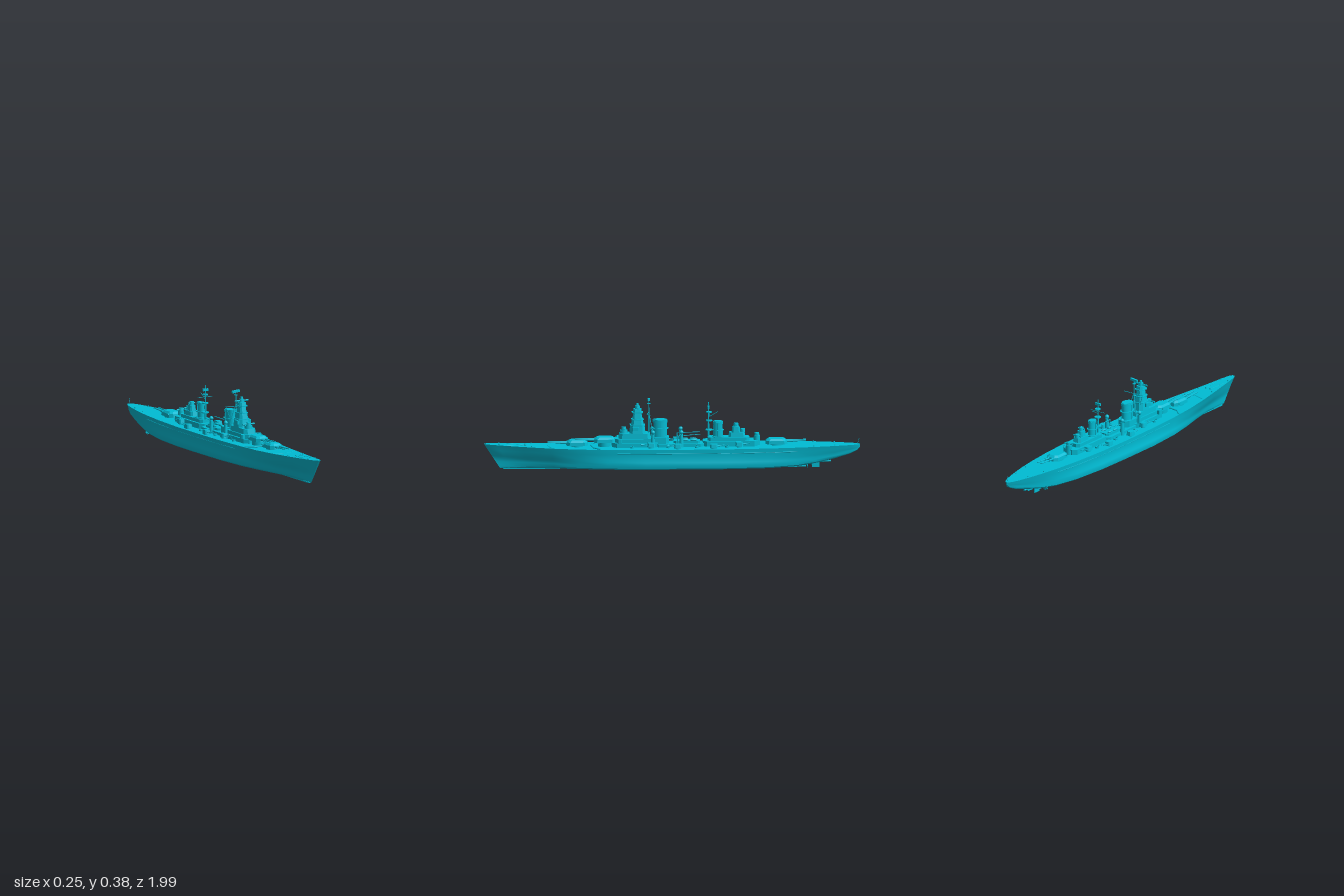
import * as THREE from 'three';
import { toCreasedNormals } from 'three/addons/utils/BufferGeometryUtils.js';

const mat = new THREE.MeshStandardMaterial({ color: 0x00bcd4 });
const DECK = 0.12;

function add(parent, name, geo, x = 0, y = 0, z = 0) {
  const m = new THREE.Mesh(geo, mat);
  m.name = name;
  m.position.set(x, y, z);
  parent.add(m);
  return m;
}
function group(parent, name, x = 0, y = 0, z = 0) {
  const g = new THREE.Group();
  g.name = name;
  g.position.set(x, y, z);
  parent.add(g);
  return g;
}
// Chamfered block standing on y, optionally tapered to the top
function block(parent, name, w, h, d, x, y, z, chamfer = 0.2, top = 1) {
  const a = w / 2, b = d / 2, c = Math.min(a, b) * chamfer * 2;
  const pts = [[a, -b + c], [a, b - c], [a - c, b], [-a + c, b], [-a, b - c], [-a, -b + c], [-a + c, -b], [a - c, -b]];
  const shape = new THREE.Shape(pts.map(p => new THREE.Vector2(...p)));
  const geo = new THREE.ExtrudeGeometry(shape, { depth: h, bevelEnabled: false }).rotateX(-Math.PI / 2);
  const p = geo.attributes.position;
  for (let i = 0; i < p.count; i++) {
    if (p.getY(i) > h / 2) p.setXYZ(i, p.getX(i) * top, p.getY(i), p.getZ(i) * top);
  }
  geo.computeVertexNormals();
  return add(parent, name, geo, x, y, z);
}
// Upright cylinder standing on y
function drum(parent, name, r0, r1, h, x, y, z, stretch = 1) {
  const m = add(parent, name, new THREE.CylinderGeometry(r1, r0, h, 20), x, y + h / 2, z);
  m.scale.z = stretch;
  return m;
}
// Round bar between two points
function rod(parent, name, a, b, r, r2 = r) {
  const A = new THREE.Vector3(...a), B = new THREE.Vector3(...b), dir = B.clone().sub(A);
  const m = add(parent, name, new THREE.CylinderGeometry(r2, r, dir.length(), 8));
  m.position.copy(A).add(B).multiplyScalar(0.5);
  m.quaternion.setFromUnitVectors(new THREE.Vector3(0, 1, 0), dir.normalize());
  return m;
}

const deckY = z => DECK + 0.017 * Math.max(0, (z - 0.5) / 0.5) ** 1.5;

function hull(parent) {
  // z, deck half-width, bilge half-width, keel height
  const stations = [
    [1, 0.006, 0.001, 0.005], [0.985, 0.017, 0.002, 0.005], [0.93, 0.028, 0.005, 0.004], [0.8, 0.049, 0.017, 0.004],
    [0.65, 0.073, 0.044, 0.003], [0.5, 0.093, 0.077, 0.003], [0.35, 0.107, 0.105, 0.003], [0.15, 0.117, 0.121, 0.003],
    [-0.1, 0.12, 0.123, 0.003], [-0.3, 0.117, 0.12, 0.003], [-0.5, 0.105, 0.104, 0.004], [-0.65, 0.089, 0.08, 0.01],
    [-0.75, 0.074, 0.06, 0.024], [-0.85, 0.054, 0.04, 0.046], [-0.93, 0.034, 0.023, 0.069],
    [-0.97, 0.018, 0.011, 0.088], [-0.985, 0.005, 0.003, 0.105]];
  // height fraction, blend from bilge to deck width, width factor
  const profile = [[0, 0, 0], [0.02, 0, 0.55], [0.06, 0, 0.85], [0.13, 0, 0.97], [0.27, 0.02, 1],
    [0.4, 0.12, 0.99], [0.52, 0.45, 0.965], [0.76, 0.72, 0.98], [1, 1, 1], [1, 1, 0]];
  const half = profile.length;
  const pos = [], idx = [], n = half * 2 - 2;
  for (const [z, wd, wb, yk] of stations) {
    const rake = 0.085 * Math.max(0, (z - 0.5) / 0.5);
    for (let j = 0; j < n; j++) {
      const [t, k, f] = profile[j < half ? j : n - j];
      const x = (wb + (wd - wb) * k) * f * (j < half ? 1 : -1);
      pos.push(x, yk + (deckY(z) - yk) * t, z - rake * (1 - t));
    }
  }
  for (let i = 0; i < stations.length - 1; i++) for (let j = 0; j < n; j++) {
    const a = i * n + j, b = i * n + (j + 1) % n, c = a + n, d = b + n;
    idx.push(a, c, b, b, c, d);
  }
  const last = (stations.length - 1) * n;
  for (let j = 1; j < n - 1; j++) idx.push(0, j, j + 1, last, last + j + 1, last + j);
  const geo = new THREE.BufferGeometry();
  geo.setAttribute('position', new THREE.Float32BufferAttribute(pos, 3));
  geo.setIndex(idx);
  add(parent, 'hull', toCreasedNormals(geo, 0.6));
}

function mainTurret(parent, name, y, z, dir) {
  const g = group(parent, name, 0, 0, z);
  if (dir < 0) g.rotation.y = Math.PI;
  drum(g, 'barbette', 0.034, 0.034, y - DECK + 0.005, 0, DECK - 0.002, 0);
  block(g, 'gunhouse', 0.074, 0.018, 0.115, 0, y, -0.002, 0.22, 0.96);
  block(g, 'turretRoof', 0.07, 0.01, 0.108, 0, y + 0.018, -0.003, 0.22, 0.75);
  rod(g, 'turretRangefinder', [-0.042, y + 0.014, -0.035], [0.042, y + 0.014, -0.035], 0.005);
  for (const s of [-1, 1]) {
    rod(g, 'barrelSleeve', [s * 0.013, y + 0.013, 0.05], [s * 0.013, y + 0.014, 0.085], 0.0055);
    rod(g, 'barrel', [s * 0.013, y + 0.013, 0.05], [s * 0.013, y + 0.017, 0.155], 0.004, 0.003);
  }
}

function secondaryTurret(parent, x, y, z, dir) {
  const g = group(parent, 'secondaryTurret', x, y, z);
  if (dir < 0) g.rotation.y = Math.PI;
  drum(g, 'secondaryBase', 0.014, 0.014, 0.008, 0, -0.003, 0);
  block(g, 'secondaryGunhouse', 0.034, 0.021, 0.042, 0, 0.004, 0, 0.18, 0.85);
  for (const s of [-1, 1]) rod(g, 'secondaryBarrel', [s * 0.007, 0.014, 0.015], [s * 0.007, 0.017, 0.055], 0.002);
}

function funnel(parent, name, z, r, stretch, top) {
  const g = group(parent, name, 0, 0, z);
  block(g, 'funnelBase', r * 2.9, 0.05, r * stretch * 2.5, 0, DECK, 0, 0.25);
  drum(g, 'funnelTrunk', r, r * 0.95, top - DECK, 0, DECK, 0, stretch);
  drum(g, 'funnelCap', r * 1.05, r * 1.05, 0.012, 0, top - 0.016, 0, stretch);
  drum(g, 'funnelPlatform', r * 1.25, r * 1.25, 0.004, 0, top - 0.05, 0, stretch * 0.95);
  for (const s of [-1, 1]) rod(g, 'steamPipe', [s * r * 1.05, DECK, 0], [s * r * 1.05, top - 0.01, 0], 0.0025);
}

function rangefinder(parent, y, z, half) {
  drum(parent, 'directorDrum', 0.014, 0.012, 0.018, 0, y, z);
  rod(parent, 'rangefinderArm', [-half, y + 0.009, z], [half, y + 0.009, z], 0.0045);
}

export function createModel() {
  const ship = new THREE.Group();
  ship.name = 'battleship';
  hull(ship);

  mainTurret(ship, 'forwardTurret', 0.127, 0.51, 1);
  mainTurret(ship, 'upperForwardTurret', 0.142, 0.365, 1);
  mainTurret(ship, 'aftTurret', 0.127, -0.545, -1);

  // Forward superstructure: width, height, depth, y, z, top scale
  const tower = group(ship, 'forwardTower');
  for (const [w, h, d, y, z, t] of [
    [0.11, 0.025, 0.25, 0.118, 0.2, 1], [0.088, 0.02, 0.21, 0.143, 0.205, 1], [0.074, 0.027, 0.17, 0.163, 0.205, 0.95],
    [0.07, 0.04, 0.085, 0.19, 0.19, 0.88], [0.066, 0.004, 0.08, 0.23, 0.19, 1], [0.054, 0.031, 0.066, 0.234, 0.19, 0.85],
    [0.056, 0.004, 0.066, 0.262, 0.19, 1], [0.04, 0.034, 0.052, 0.266, 0.19, 0.8], [0.052, 0.005, 0.06, 0.298, 0.19, 1],
    [0.042, 0.016, 0.046, 0.303, 0.19, 0.9]]) block(tower, 'towerStage', w, h, d, 0, y, z, 0.22, t);
  drum(tower, 'conningTower', 0.022, 0.02, 0.02, 0, 0.185, 0.262);
  rangefinder(tower, 0.204, 0.262, 0.036);
  rangefinder(tower, 0.318, 0.19, 0.041);
  drum(tower, 'lookout', 0.008, 0.006, 0.014, 0, 0.334, 0.19);
  rod(tower, 'foremast', [0, 0.19, 0.13], [0, 0.365, 0.13], 0.004, 0.002);
  drum(tower, 'mastTop', 0.009, 0.009, 0.003, 0, 0.345, 0.13);
  block(tower, 'radarAntenna', 0.046, 0.012, 0.012, 0, 0.361, 0.13, 0.15).rotation.z = 0.12;
  for (const s of [-1, 1]) {
    rod(tower, 'mastBrace', [s * 0.025, 0.19, 0.11], [0, 0.3, 0.13], 0.002);
    rod(tower, 'signalYard', [0, 0.286, 0.14], [s * 0.062, 0.293, 0.125], 0.0015);
    block(tower, 'bridgeWing', 0.02, 0.02, 0.035, s * 0.032, 0.207, 0.2, 0.15);
    block(tower, 'sideDirector', 0.02, 0.022, 0.025, s * 0.05, 0.143, 0.285, 0.2);
  }
  rod(tower, 'flagPole', [-0.057, 0.288, 0.125], [-0.04, 0.235, 0.13], 0.0015);

  funnel(ship, 'forwardFunnel', 0.07, 0.026, 1.45, 0.262);
  funnel(ship, 'aftFunnel', -0.235, 0.02, 1.3, 0.25);

  // Midship deckhouse with boats and cranes
  const mid = group(ship, 'midshipDeckhouse');
  block(mid, 'midHouse', 0.1, 0.018, 0.28, 0, 0.118, -0.03, 0.3);
  block(mid, 'midUpperHouse', 0.06, 0.012, 0.14, 0, 0.136, -0.07, 0.2);
  for (const s of [-1, 1]) {
    rod(mid, 'cranePost', [s * 0.045, 0.13, -0.02], [s * 0.045, 0.18, -0.02], 0.003);
    rod(mid, 'craneJib', [s * 0.045, 0.178, -0.02], [s * 0.03, 0.185, -0.14], 0.002);
    for (const z of [-0.06, -0.105]) {
      add(mid, 'boat', new THREE.SphereGeometry(1, 12, 8), s * 0.02, 0.152, z).scale.set(0.008, 0.006, 0.02);
    }
  }

  // Aft superstructure
  const aft = group(ship, 'aftTower');
  for (const [w, h, d, y, z, t] of [
    [0.09, 0.03, 0.29, 0.118, -0.3, 1], [0.066, 0.02, 0.22, 0.146, -0.29, 1], [0.05, 0.024, 0.09, 0.166, -0.335, 0.9],
    [0.036, 0.03, 0.045, 0.19, -0.33, 0.85]]) block(aft, 'aftStage', w, h, d, 0, y, z, 0.22, t);
  rangefinder(aft, 0.19, -0.365, 0.025);
  rangefinder(aft, 0.22, -0.33, 0.02);
  drum(aft, 'aftDirectorBase', 0.018, 0.016, 0.05, 0, 0.12, -0.44);
  rangefinder(aft, 0.168, -0.44, 0.026);
  rod(aft, 'mainmast', [0, 0.12, -0.185], [0, 0.35, -0.185], 0.006, 0.002);
  for (const [y, r] of [[0.2, 0.02], [0.25, 0.017], [0.295, 0.015]]) drum(aft, 'mastPlatform', r, r, 0.005, 0, y, -0.188);
  block(aft, 'aftRadar', 0.034, 0.012, 0.01, 0, 0.318, -0.185, 0.15);
  rod(aft, 'aftYard', [-0.045, 0.285, -0.19], [0.045, 0.285, -0.19], 0.0015);
  rod(aft, 'aftGaff', [0, 0.27, -0.185], [0, 0.3, -0.235], 0.0015);

  // Paired fittings on each side
  for (const s of [-1, 1]) {
    secondaryTurret(ship, s * 0.092, DECK, 0.125 - 0.145, 1);
    secondaryTurret(ship, s * 0.092, DECK, -0.21, -1);
    secondaryTurret(ship, s * 0.057, 0.122, -0.345, -1);
    secondaryTurret(ship, s * 0.067, 0.122, 0.12, 1);
    for (const z of [0.11, -0.04]) {
      drum(ship, 'directorPedestal', 0.012, 0.008, 0.07, s * 0.05, 0.12, z);
      add(ship, 'directorDome', new THREE.SphereGeometry(0.011, 16, 12), s * 0.05, 0.2, z);
    }
    for (const z of [0.22, 0.03, -0.12, -0.28]) {
      drum(ship, 'gunTub', 0.01, 0.01, 0.01, s * 0.066, 0.118, z);
      rod(ship, 'lightGun', [s * 0.066, 0.128, z], [s * 0.083, 0.14, z], 0.0015);
    }
    // Breakwaters, anchor gear and bollards
    rod(ship, 'breakwater', [0, 0.123, 0.435], [s * 0.06, 0.123, 0.425], 0.004);
    rod(ship, 'breakwater', [s * 0.06, 0.123, 0.425], [s * 0.1, 0.122, 0.39], 0.004);
    rod(ship, 'foreBreakwater', [0, 0.123, 0.665], [s * 0.062, 0.123, 0.645], 0.002);
    drum(ship, 'capstan', 0.006, 0.005, 0.007, s * 0.015, 0.126, 0.78);
    rod(ship, 'anchorChain', [s * 0.015, 0.127, 0.78], [s * 0.022, 0.132, 0.88], 0.0015);
    for (const [x, z] of [[0.022, 0.92], [0.045, 0.75], [0.04, -0.85], [0.06, -0.74]]) {
      drum(ship, 'bollard', 0.003, 0.003, 0.006, s * x, deckY(z), z);
    }
    // Side belt strip
    const belt = new THREE.CatmullRomCurve3([[0.108, 0.3], [0.1145, 0.15], [0.1175, -0.1], [0.114, -0.3], [0.103, -0.5], [0.086, -0.65]]
      .map(([x, z]) => new THREE.Vector3(s * x, 0.098, z)));
    add(ship, 'beltStrip', new THREE.TubeGeometry(belt, 30, 0.002, 6));
    // Rudder, shaft and propeller
    block(ship, 'rudder', 0.007, 0.047, 0.042, s * 0.022, 0.003, -0.75, 0.25);
    rod(ship, 'propellerShaft', [s * 0.045, 0.022, -0.5], [s * 0.045, 0.022, -0.705], 0.004);
    rod(ship, 'shaftBracket', [s * 0.045, 0.022, -0.69], [s * 0.04, 0.045, -0.69], 0.003);
    for (let k = 0; k < 3; k++) {
      const blade = add(ship, 'propellerBlade', new THREE.BoxGeometry(0.009, 0.034, 0.003), s * 0.045, 0.022, -0.705);
      blade.rotation.z = k * Math.PI / 3;
    }
  }
  rod(ship, 'centreShaft', [0, 0.028, -0.68], [0, 0.03, -0.83], 0.005);
  block(ship, 'skeg', 0.012, 0.025, 0.14, 0, 0.028, -0.75, 0.3);
  block(ship, 'keelStrip', 0.012, 0.006, 1.6, 0, 0, 0.1, 0.3);
  rod(ship, 'sternStaff', [0, 0.118, -0.97], [0, 0.15, -0.98], 0.0012);
  return ship;
}
